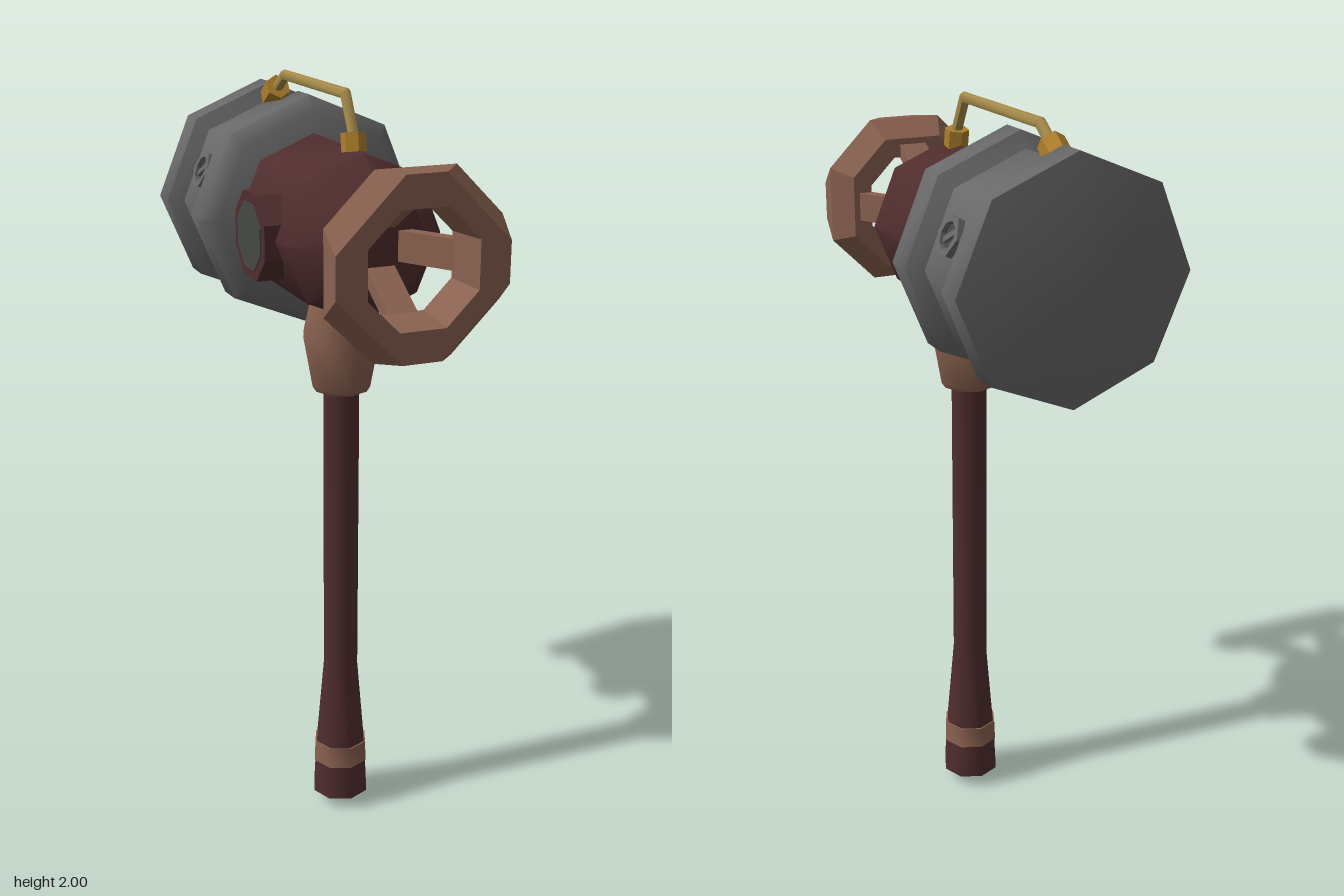
import * as THREE from 'three';
import { toCreasedNormals } from 'three/addons/utils/BufferGeometryUtils.js';

const material = (name, color) => {
  const m = new THREE.MeshStandardMaterial({ color });
  m.name = name;
  return m;
};

export function createModel() {
  const maroon = material('maroon', 0x502d2e);
  const iron = material('iron grey', 0x686868);
  const copper = material('copper', 0x8a6250);
  const wireBrass = material('wire brass', 0xa58a4a);
  const nutGold = material('nut gold', 0xad7f2c);
  const dark = material('dark grey', 0x464846);

  const model = new THREE.Group();
  model.name = 'hammer';
  const axisY = 1.655, handleZ = 0.08;

  const add = (name, geometry, mat, parent = model) => {
    const mesh = new THREE.Mesh(geometry, mat);
    mesh.name = name;
    parent.add(mesh);
    return mesh;
  };
  // Octagonal turned part; profile is [radius, height] going upward
  const turned = (profile) => toCreasedNormals(
    new THREE.LatheGeometry(profile.map(([r, y]) => new THREE.Vector2(r, y)), 8), 0.87);
  // Prism running between two points
  const rod = (name, a, b, radius, sides, mat, parent) => {
    const from = new THREE.Vector3(...a), to = new THREE.Vector3(...b);
    const dir = to.clone().sub(from);
    const geometry = toCreasedNormals(
      new THREE.CylinderGeometry(radius, radius, dir.length(), sides), 0.87);
    const mesh = add(name, geometry, mat, parent);
    mesh.position.copy(from).add(to).multiplyScalar(0.5);
    mesh.quaternion.setFromUnitVectors(new THREE.Vector3(0, 1, 0), dir.normalize());
    return mesh;
  };

  // Handle, flared at the foot
  add('handle', turned([[0, 0], [0.08, 0.035], [0.08, 0.05], [0.074, 0.16],
    [0.05, 0.43], [0.05, 1.27]]), maroon).position.z = handleZ;
  add('handleBand', turned([[0.06, 0.135], [0.078, 0.135], [0.075, 0.195],
    [0.06, 0.195]]), copper).position.z = handleZ;
  add('socket', turned([[0, 1.235], [0.07, 1.235], [0.08, 1.25], [0.105, 1.385],
    [0.085, 1.47], [0, 1.47]]), copper).position.z = handleZ;

  // Head and body lie along z
  const alongZ = (name, profile, mat) => {
    const mesh = add(name, turned(profile).rotateX(Math.PI / 2), mat);
    mesh.position.y = axisY;
    return mesh;
  };
  alongZ('hammerHead', [[0, -0.56], [0.3, -0.5], [0.3, -0.425], [0.26, -0.405],
    [0.26, -0.24], [0.3, -0.215], [0.3, -0.14], [0.262, -0.108], [0, -0.108]], iron);
  alongZ('body', [[0.207, -0.12], [0.207, 0.213], [0.127, 0.315], [0, 0.315]], maroon);

  // Flared front ring: loops of [short half edge, half width, z]
  const loops = [[0.08, 0.175, 0.44], [0.1, 0.22, 0.5], [0.05, 0.215, 0.557],
    [0.058, 0.138, 0.557], [0.055, 0.125, 0.44]];
  const positions = [], indices = [];
  for (const [a, b, z] of loops) {
    for (const [x, y] of [[b, -a], [b, a], [a, b], [-a, b], [-b, a], [-b, -a], [-a, -b], [a, -b]]) {
      positions.push(x, y, z);
    }
  }
  for (let i = 0; i < loops.length; i++) {
    const n = (i + 1) % loops.length;
    for (let j = 0; j < 8; j++) {
      const k = (j + 1) % 8;
      indices.push(i * 8 + j, i * 8 + k, n * 8 + k, i * 8 + j, n * 8 + k, n * 8 + j);
    }
  }
  let ring = new THREE.BufferGeometry();
  ring.setAttribute('position', new THREE.Float32BufferAttribute(positions, 3));
  ring.setIndex(indices);
  ring = ring.toNonIndexed();
  ring.computeVertexNormals();
  add('frontRing', ring, copper).position.y = axisY;

  // Four struts from the body to the ring
  for (let i = 0; i < 4; i++) {
    const arm = new THREE.Group();
    arm.name = 'ringStrut';
    arm.position.y = axisY;
    arm.rotation.z = i * Math.PI / 2;
    const strut = add('strut', new THREE.BoxGeometry(0.075, 0.032, 0.21), copper, arm);
    strut.position.set(0, 0.104, 0.38);
    strut.rotation.x = -Math.atan2(0.1, 0.165);
    model.add(arm);
  }

  // Side port with a dark face
  const port = new THREE.Group();
  port.name = 'sidePort';
  port.position.set(0, axisY - 0.005, 0.055);
  model.add(port);
  const portShape = (r, depth) => new THREE.CylinderGeometry(r, r, depth, 8)
    .rotateY(Math.PI / 8).rotateZ(Math.PI / 2);
  add('portRim', toCreasedNormals(portShape(0.114, 0.095), 0.5), maroon, port).position.x = -0.1865;
  add('portFace', toCreasedNormals(portShape(0.088, 0.006), 0.5), dark, port).position.x = -0.234;

  // Slotted hexagonal bolts on both upper sides of the head
  for (const angle of [Math.PI / 8, Math.PI * 7 / 8]) {
    const bolt = new THREE.Group();
    bolt.name = 'bolt';
    bolt.position.set(0, axisY, -0.32);
    bolt.rotation.z = angle;
    const shape = new THREE.Shape();
    for (let i = 0; i < 6; i++) {
      const t = i * Math.PI / 3;
      shape[i ? 'lineTo' : 'moveTo'](0.052 * Math.cos(t), 0.052 * Math.sin(t));
    }
    shape.closePath();
    shape.holes.push(new THREE.Path().absarc(0, 0, 0.034, 0, Math.PI * 2, true));
    const nut = new THREE.ExtrudeGeometry(shape, { depth: 0.025, bevelEnabled: false, curveSegments: 4 });
    add('boltRim', nut.rotateY(Math.PI / 2), iron, bolt).position.x = 0.232;
    const core = new THREE.CylinderGeometry(0.034, 0.034, 0.01, 8).rotateZ(Math.PI / 2);
    add('boltCore', core, dark, bolt).position.x = 0.239;
    const bar = add('boltBar', new THREE.BoxGeometry(0.012, 0.014, 0.05), iron, bolt);
    bar.position.x = 0.247;
    bar.rotation.x = 0.6;
    model.add(bolt);
  }

  // Bent wire over the top, held by a hexagonal nut at each end
  const path = [[0, 1.85, 0.155], [0, 1.9, 0.147], [0, 1.985, 0.1],
    [0, 1.985, -0.31], [0, 1.925, -0.4]];
  for (let i = 0; i < path.length - 1; i++) {
    rod('wire', path[i], path[i + 1], 0.014, 8, wireBrass);
    if (i) add('wireBend', new THREE.SphereGeometry(0.014, 8, 6), wireBrass).position.set(...path[i]);
  }
  rod('frontNut', [0, 1.855, 0.155], [0, 1.9, 0.147], 0.031, 6, nutGold);
  rod('backNut', [0, 1.95, -0.362], [0, 1.916, -0.413], 0.034, 6, nutGold);

  return model;
}
